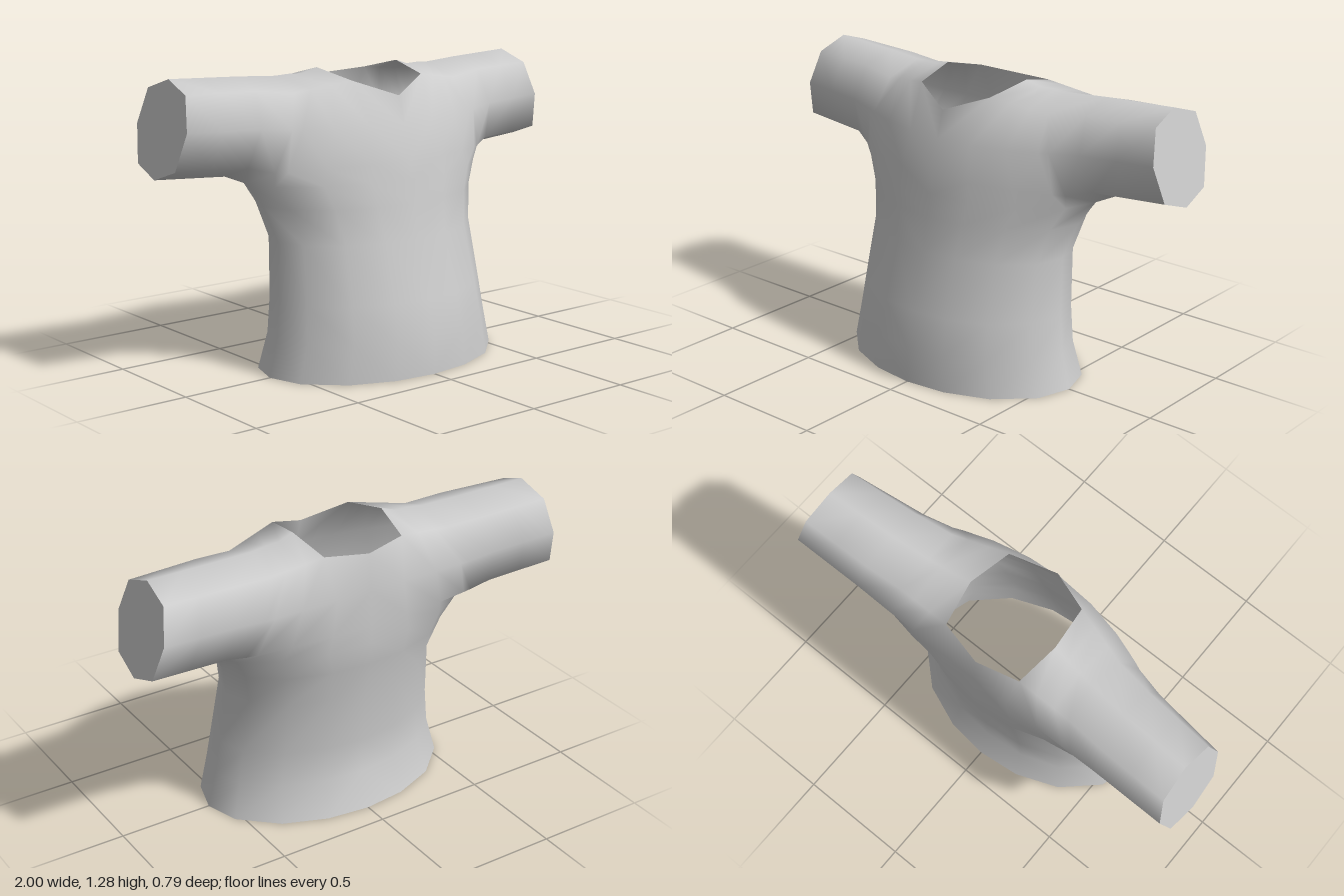
import * as THREE from 'three';
import { mergeVertices } from 'three/addons/utils/BufferGeometryUtils.js';

const material = new THREE.MeshStandardMaterial({ color: 0xcccccc, side: THREE.DoubleSide });

// Column positions from the centre line (0) to the side seam (1)
const COLUMNS = [0, 0.33, 0.66, 0.92, 1];

// Torso rows below the armhole: y, side x, side z, front z, back z
const TORSO = [
  [0, 0.58, 0, 0.395, -0.39],
  [0.16, 0.54, 0, 0.39, -0.335],
  [0.32, 0.52, -0.01, 0.355, -0.335],
  [0.57, 0.5, -0.04, 0.285, -0.36],
  [0.72, 0.54, -0.09, 0.258, -0.39],
  [0.82, 0.6, -0.13, 0.24, -0.395],
];

// Sleeve loops of 8 points: armpit, up the front, over the top, down the back
const ARMHOLE = [
  [0.6, 0.82, -0.13], [0.56, 0.88, 0.03], [0.5, 1.06, 0.07], [0.44, 1.2, 0.0],
  [0.42, 1.256, -0.16], [0.44, 1.21, -0.32], [0.5, 1.06, -0.385], [0.56, 0.89, -0.33],
];
const CUFF = [
  [0.87, -0.2], [0.92, -0.055], [1.08, -0.01], [1.225, -0.06],
  [1.277, -0.2], [1.23, -0.345], [1.08, -0.39], [0.92, -0.34],
].map(([y, z]) => [0.92 + (1.277 - y) * 0.197, y, z]);
const UPPER_ARM = [
  [0.67, 0.85, -0.18], [0.66, 0.905, -0.02], [0.63, 1.07, 0.035], [0.61, 1.22, -0.03],
  [0.6, 1.265, -0.18], [0.61, 1.22, -0.335], [0.63, 1.07, -0.385], [0.66, 0.91, -0.335],
];

const lerp = (a, b, t) => a.map((v, i) => v + (b[i] - v) * t);

// One half panel (front or back) as rows of points, hem to shoulder seam
function panelRows(front) {
  const rows = TORSO.map(([y, x, z, zFront, zBack]) => {
    const zMid = front ? zFront : zBack;
    return COLUMNS.map((s) => [x * s, y, z + (zMid - z) * Math.sqrt(1 - s * s)]);
  });
  // Chest rows run from the centre line to the armhole
  const edge = front ? [1, 2, 3] : [7, 6, 5];
  const centres = front ? [[0.9, 0.228], [1.05, 0.185]] : [[0.9, -0.395], [1.06, -0.388]];
  centres.forEach(([y, z], k) => {
    const e = ARMHOLE[edge[k]];
    rows.push(COLUMNS.map((s) => [e[0] * s, y + (e[1] - y) * s * s, z + (e[2] - z) * s * s]));
  });
  // Neckline row, then the shoulder seam shared by both panels
  const neckMid = front ? [0, 1.17, 0.152] : [0, 1.22, -0.368];
  const neckSide = front ? [0.19, 1.24, 0.07] : [0.19, 1.235, -0.325];
  const seamInner = [0.22, 1.28, -0.135];
  const steps = [0, 0.35, 0.7, 1];
  rows.push([neckMid, ...steps.map((t) => lerp(neckSide, ARMHOLE[edge[2]], t))]);
  rows.push([null, ...steps.map((t) => {
    const p = lerp(seamInner, ARMHOLE[4], t);
    p[1] -= 0.02 * Math.sin(Math.PI * Math.sqrt(t)) * (1 - t);
    return p;
  })]);
  return rows;
}

// Geometry from triangles given on the +x half, optionally mirrored to -x
function geometryFrom(triangles, sides) {
  const positions = [];
  for (const side of sides) {
    for (const [a, b, c] of triangles) {
      for (const p of side > 0 ? [a, b, c] : [a, c, b]) positions.push(p[0] * side, p[1], p[2]);
    }
  }
  const geometry = new THREE.BufferGeometry();
  geometry.setAttribute('position', new THREE.Float32BufferAttribute(positions, 3));
  const merged = mergeVertices(geometry, 1e-4);
  merged.computeVertexNormals();
  return merged;
}

function addMesh(group, name, geometry) {
  const mesh = new THREE.Mesh(geometry, material);
  mesh.name = name;
  group.add(mesh);
}

export function createModel() {
  const group = new THREE.Group();
  group.name = 'shirt';
  const triangles = [];
  const quad = (a, b, c, d) => triangles.push([a, b, c], [a, c, d]);

  // Front and back panels, leaving the neck open
  for (const front of [true, false]) {
    const rows = panelRows(front);
    for (let j = 0; j < rows.length - 1; j++) {
      for (let i = 0; i < COLUMNS.length - 1; i++) {
        const [a, b, c, d] = [rows[j][i], rows[j][i + 1], rows[j + 1][i + 1], rows[j + 1][i]];
        if (!d) continue;
        if (front) quad(a, b, c, d);
        else quad(b, a, d, c);
      }
    }
  }

  // Sleeve skin from armhole to cuff
  const loops = [ARMHOLE, UPPER_ARM, UPPER_ARM.map((p, i) => lerp(p, CUFF[i], 0.5)), CUFF];
  for (let k = 0; k < loops.length - 1; k++) {
    for (let i = 0; i < 8; i++) {
      const n = (i + 1) % 8;
      quad(loops[k][i], loops[k + 1][i], loops[k + 1][n], loops[k][n]);
    }
  }
  addMesh(group, 'bodyAndSleeves', geometryFrom(triangles, [1, -1]));

  // Flat ends closing the sleeves
  const cap = [];
  for (let i = 1; i < 7; i++) cap.push([CUFF[0], CUFF[i + 1], CUFF[i]]);
  addMesh(group, 'leftSleeveEnd', geometryFrom(cap, [1]));
  addMesh(group, 'rightSleeveEnd', geometryFrom(cap, [-1]));
  return group;
}
